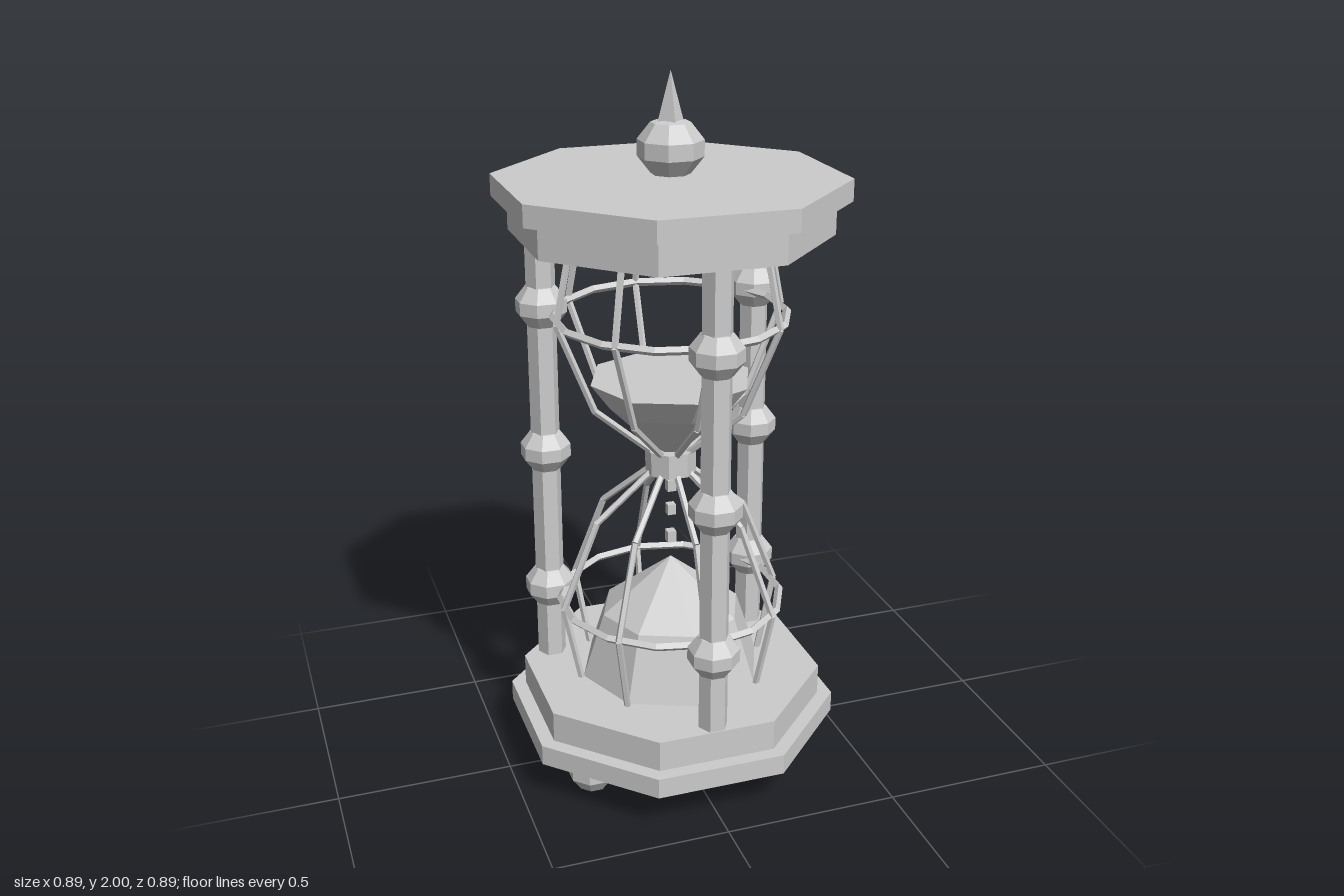
import * as THREE from 'three';

const stone = new THREE.MeshStandardMaterial({ color: 0xcccccc, flatShading: true });
stone.name = 'pale grey';

export function createModel() {
  const model = new THREE.Group();
  model.name = 'hourglass';

  const add = (name, geometry, x = 0, y = 0, z = 0, turn = 0) => {
    const mesh = new THREE.Mesh(geometry, stone);
    mesh.name = name;
    mesh.position.set(x, y, z);
    mesh.rotation.y = turn;
    model.add(mesh);
    return mesh;
  };
  const lathe = (points, sides) =>
    new THREE.LatheGeometry(points.map(([r, y]) => new THREE.Vector2(r, y)), sides);
  // Faceted bead with a straight middle band
  const bead = (r, h) => lathe(
    [[0, -h * 1.15], [r * 0.6, -h], [r, -h * 0.33], [r, h * 0.33], [r * 0.6, h], [0, h * 1.15]], 8);
  // Straight rod between two points
  const rod = (name, a, b, radius) => {
    const mesh = add(name, new THREE.CylinderGeometry(radius, radius, a.distanceTo(b), 5));
    mesh.position.copy(a).lerp(b, 0.5);
    mesh.quaternion.setFromUnitVectors(new THREE.Vector3(0, 1, 0), b.clone().sub(a).normalize());
  };

  // Octagonal end plates
  const flat = Math.PI / 8;
  const plate = (name, half, low, high) => {
    const r = half / Math.cos(flat);
    add(name, new THREE.CylinderGeometry(r, r, high - low, 8), 0, (low + high) / 2, 0, flat);
  };
  plate('bottomPlate', 0.444, 0.115, 0.175);
  plate('bottomStep', 0.405, 0.175, 0.265);
  plate('topStep', 0.405, 1.575, 1.665);
  plate('topPlate', 0.444, 1.665, 1.725);

  // Finial
  add('finialBall', bead(0.089, 0.067), 0, 1.8, 0, flat);
  add('finialSpike', new THREE.ConeGeometry(0.038, 0.14, 4), 0, 1.93, 0);

  // Three posts with beads, and three feet between them
  for (let i = 0; i < 3; i++) {
    const a = (i * Math.PI * 2) / 3;
    const x = Math.sin(a) * 0.365, z = Math.cos(a) * 0.365;
    add('post', new THREE.CylinderGeometry(0.042, 0.042, 1.32, 6), x, 0.92, z, Math.PI / 6);
    for (const y of [0.49, 0.92, 1.35]) add('postBead', bead(0.072, 0.056), x, y, z, flat);
    add('foot', bead(0.072, 0.06), -Math.sin(a) * 0.34, 0.07, -Math.cos(a) * 0.34, flat);
  }

  // Glass cage: bent ribs and hoops, mirrored about the neck
  const neckY = 0.92;
  const profile = [[0.045, 0.02], [0.22, 0.17], [0.322, 0.427], [0.275, 0.66]];
  for (const side of [-1, 1]) {
    for (let i = 0; i < 8; i++) {
      const a = (i * Math.PI) / 4;
      const points = profile.map(([r, h]) =>
        new THREE.Vector3(Math.sin(a) * r, neckY + side * h, Math.cos(a) * r));
      for (let k = 0; k < 3; k++) rod('glassRib', points[k], points[k + 1], 0.01);
    }
    const hoop = new THREE.TorusGeometry(0.32, 0.012, 4, 14);
    hoop.rotateX(Math.PI / 2);
    add('glassHoop', hoop, 0, neckY + side * 0.427, 0, Math.PI / 2);
  }
  add('neckCollar', new THREE.CylinderGeometry(0.072, 0.072, 0.07, 8), 0, neckY, 0, flat);

  // Sand
  add('upperSand', lathe([[0, 0.94], [0.03, 0.945], [0.175, 1.09], [0.23, 1.165], [0, 1.165]], 8));
  add('lowerSand', lathe([[0, 0.26], [0.27, 0.26], [0.205, 0.455], [0, 0.615]], 8));
  for (const [y, s] of [[0.84, 0.026], [0.765, 0.024], [0.68, 0.026]])
    add('fallingGrain', new THREE.BoxGeometry(s, s * 1.3, s), 0, y, 0);

  return model;
}
